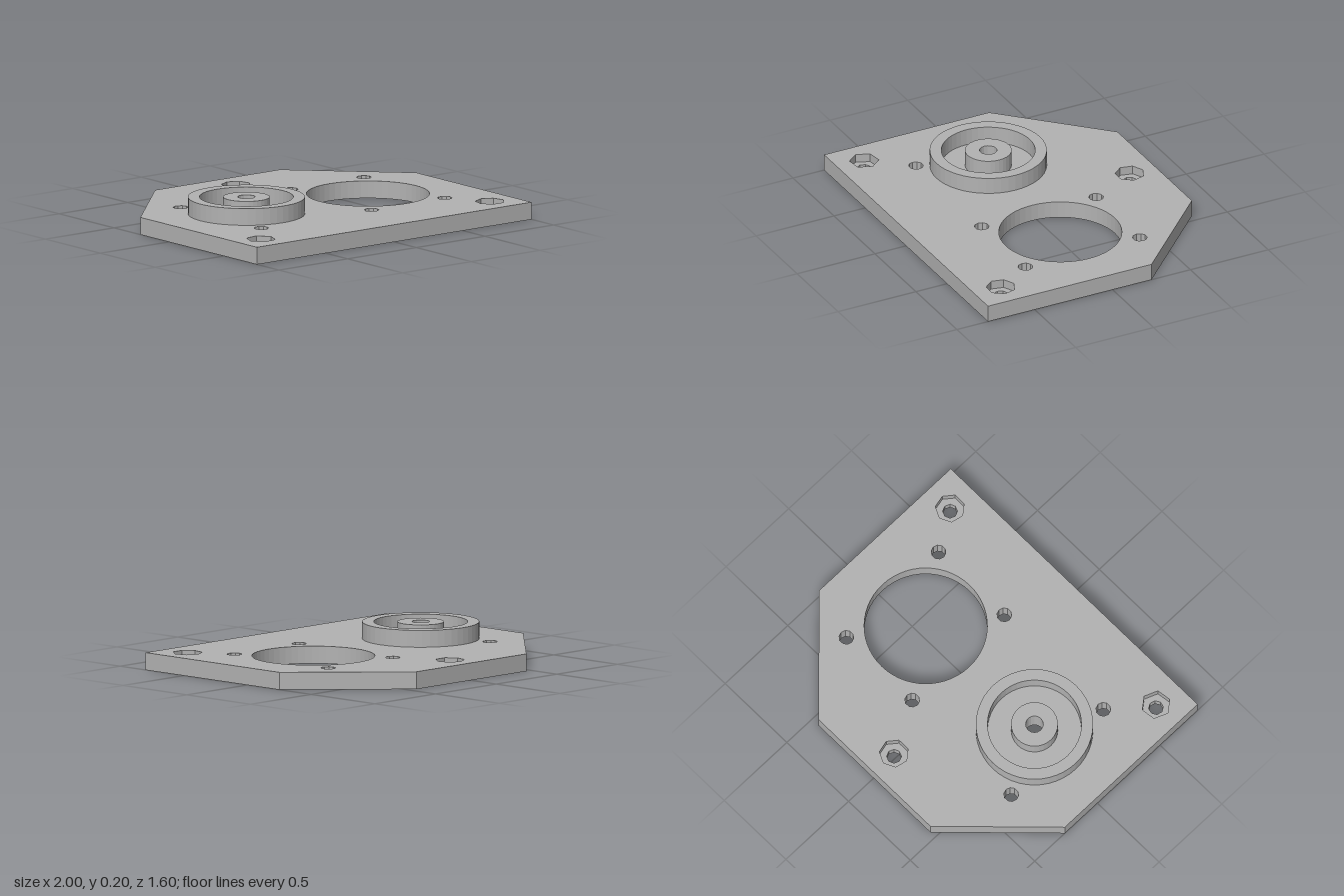
import * as THREE from 'three';

const PLATE_TOP = 0.1, BOSS_TOP = 0.197, STEP = 0.05;
const BOSS = [-0.46, 0.03], RECESS_R = 0.113;

// Regular polygon outline as points; z is flipped so the shape can be laid flat
function ring([x, z], r, sides, turn = 0) {
  return Array.from({ length: sides }, (_, i) => {
    const a = turn + (i / sides) * Math.PI * 2;
    return new THREE.Vector2(x + r * Math.cos(a), -z + r * Math.sin(a));
  });
}

export function createModel() {
  const model = new THREE.Group();
  const grey = new THREE.MeshStandardMaterial({ color: 0xb2b2b2 });
  grey.name = 'plain grey';

  // Upright prism with holes, from height y0 to y1
  function slab(name, outline, holes, y0, y1) {
    const shape = new THREE.Shape(outline);
    shape.holes = holes.map((h) => new THREE.Path(h));
    const geo = new THREE.ExtrudeGeometry(shape, { depth: y1 - y0, bevelEnabled: false });
    geo.rotateX(-Math.PI / 2).translate(0, y0, 0);
    const mesh = new THREE.Mesh(geo, grey);
    mesh.name = name;
    model.add(mesh);
  }

  // Nut pockets: centre, number of sides, rotation
  const pockets = [
    { at: [0, -0.637], sides: 7, turn: Math.PI / 2 },
    { at: [-0.835, 0.63], sides: 6, turn: 0.14 },
    { at: [0.833, 0.63], sides: 7, turn: Math.PI / 2 },
  ].map((p) => ({ ...p, outline: ring(p.at, 0.084, p.sides, p.turn) }));

  // Screw holes around the boss and the large opening
  const screws = [];
  for (const x of [-0.645, 0.157, 0.69])
    for (const z of [-0.338, 0.397]) screws.push(ring([x, z], 0.042, 10));

  // Base plate with two cut rear corners
  const outline = [[-1, 0.8], [1, 0.8], [1, -0.25], [0.448, -0.8], [-0.46, -0.8], [-1, -0.26]]
    .map(([x, z]) => new THREE.Vector2(x, -z));
  slab('basePlate', outline, [
    ring([0.423, 0.032], 0.35, 56),
    ring(BOSS, RECESS_R, 24),
    ...screws,
    ...pockets.map((p) => p.outline),
  ], 0, PLATE_TOP);

  // Pocket floors with bolt holes
  for (const p of pockets)
    slab('pocketFloor', p.outline, [ring(p.at, 0.042, 8, p.turn)], 0, STEP);

  // Round boss: raised rim, central hub and the ceiling of the recess beneath
  slab('bossRim', ring(BOSS, 0.333, 48), [ring(BOSS, 0.267, 48)], PLATE_TOP, BOSS_TOP);
  slab('bossHub', ring(BOSS, 0.133, 32), [ring(BOSS, 0.05, 16)], PLATE_TOP, BOSS_TOP);
  slab('recessCeiling', ring(BOSS, RECESS_R, 24), [ring(BOSS, 0.05, 16)], STEP, PLATE_TOP);

  return model;
}
